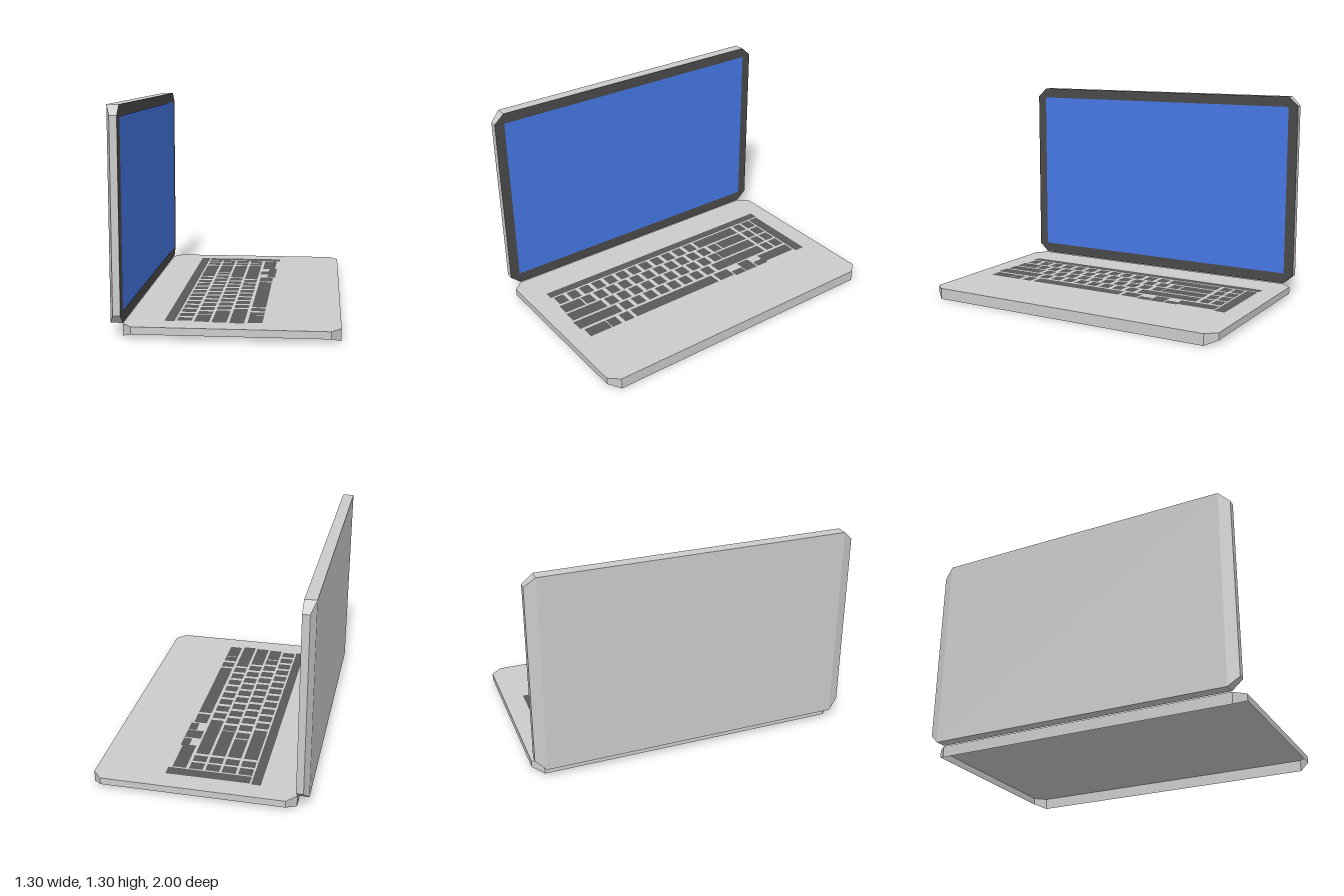
import * as THREE from 'three';
import { mergeGeometries } from 'three/addons/utils/BufferGeometryUtils.js';

const material = (color) =>
  new THREE.MeshStandardMaterial({ color, side: THREE.DoubleSide, flatShading: true });

// Flat faces from corner lists, each cut as a fan
function facesGeometry(faces) {
  const points = [];
  for (const f of faces)
    for (let i = 1; i < f.length - 1; i++) points.push(...f[0], ...f[i], ...f[i + 1]);
  const geometry = new THREE.BufferGeometry();
  geometry.setAttribute('position', new THREE.Float32BufferAttribute(points, 3));
  geometry.computeVertexNormals();
  return geometry;
}

// Panel with cut corners: top face at y = 0, walls shallower at the z ends
const X = 0.6125, Z = 1, CUT_X = 0.555, CUT_Z = 0.935, DEEP = -0.07, SHALLOW = -0.043;
const outline = [[-CUT_X, Z], [CUT_X, Z], [X, CUT_Z], [X, -CUT_Z],
  [CUT_X, -Z], [-CUT_X, -Z], [-X, -CUT_Z], [-X, CUT_Z]];
const top = outline.map(([x, z]) => [x, 0, z]);
const low = outline.map(([x, z]) => [x, Math.abs(z) === Z ? SHALLOW : DEEP, z]);
const walls = top.map((p, i) => [p, low[i], low[(i + 1) % 8], top[(i + 1) % 8]]);
// Flat back with a sloping strip at each end
const back = [[7, 6, 3, 2], [0, 7, 2, 1], [4, 3, 6, 5]].map((f) => f.map((i) => low[i]));

// Flat rectangle lying at height y
function plate(x0, x1, z0, z1, y) {
  return new THREE.PlaneGeometry(x1 - x0, z1 - z0)
    .rotateX(-Math.PI / 2)
    .translate((x0 + x1) / 2, y, (z0 + z1) / 2);
}

function add(parent, name, geometry, mat) {
  const mesh = new THREE.Mesh(geometry, mat);
  mesh.name = name;
  parent.add(mesh);
  return mesh;
}

// Keyboard columns: x range, special keys [z0, z1], then a run of equal keys
const KEY = 0.069, PITCH = 0.0945;
const small = [[-0.793, -0.724], [-0.708, -0.645]];
const columns = [
  { x: [-0.286, -0.201], keys: [...small, [-0.623, -0.279]], start: -0.257, count: 12 },
  { x: [-0.185, -0.1], keys: [...small, [-0.623, -0.411], [0.719, 0.867]], start: -0.4, count: 12 },
  { x: [-0.085, 0], keys: [...small, [-0.623, -0.332], [0.618, 0.873]], start: -0.326, count: 10 },
  { x: [0.016, 0.1], keys: [...small, [-0.623, -0.279], [0.57, 0.883]], start: -0.279, count: 9 },
  { x: [0.119, 0.203], count: 0, keys: [[-0.793, -0.538], [-0.263, -0.151], [-0.13, 0.523],
    [0.544, 0.613], [0.639, 0.708], [0.714, 0.867]] },
];

function keyboardGeometry(y) {
  const keys = [
    plate(-0.355, -0.297, -0.88, 0.865, y), // long strip by the hinge
    plate(-0.287, 0.225, -0.873, -0.803, y), // end strip
    plate(0.164, 0.217, -0.549, -0.464, y), // arrow keys
    plate(0.112, 0.217, -0.454, -0.363, y),
    plate(0.164, 0.217, -0.358, -0.273, y),
  ];
  for (const { x, keys: special, start, count } of columns) {
    for (const [z0, z1] of special) keys.push(plate(...x, z0, z1, y));
    for (let i = 0; i < count; i++) {
      const z = start + i * PITCH;
      keys.push(plate(...x, z, z + KEY, y));
    }
  }
  return mergeGeometries(keys);
}

export function createModel() {
  const model = new THREE.Group();
  model.name = 'laptop';
  const grey = material(0xcccccc);

  // Base: shell open underneath
  const base = new THREE.Group();
  base.name = 'base';
  add(base, 'baseShell', facesGeometry([top, ...walls]), grey).position.set(0.0335, 0.07, 0);
  add(base, 'keyboard', keyboardGeometry(0.072), material(0x595959));
  model.add(base);

  // Lid: the same panel stood upright, closed at the back
  const lid = new THREE.Group();
  lid.name = 'lid';
  add(lid, 'lidShell', facesGeometry([...walls, ...back]), grey);
  add(lid, 'bezel', facesGeometry([top]), material(0x4a4a4a));
  add(lid, 'screen', plate(-0.548, 0.545, -0.937, 0.937, 0.002), material(0x4678e6));
  lid.rotation.z = -Math.PI / 2;
  lid.position.set(-0.579, 0.686, 0);
  model.add(lid);

  return model;
}
